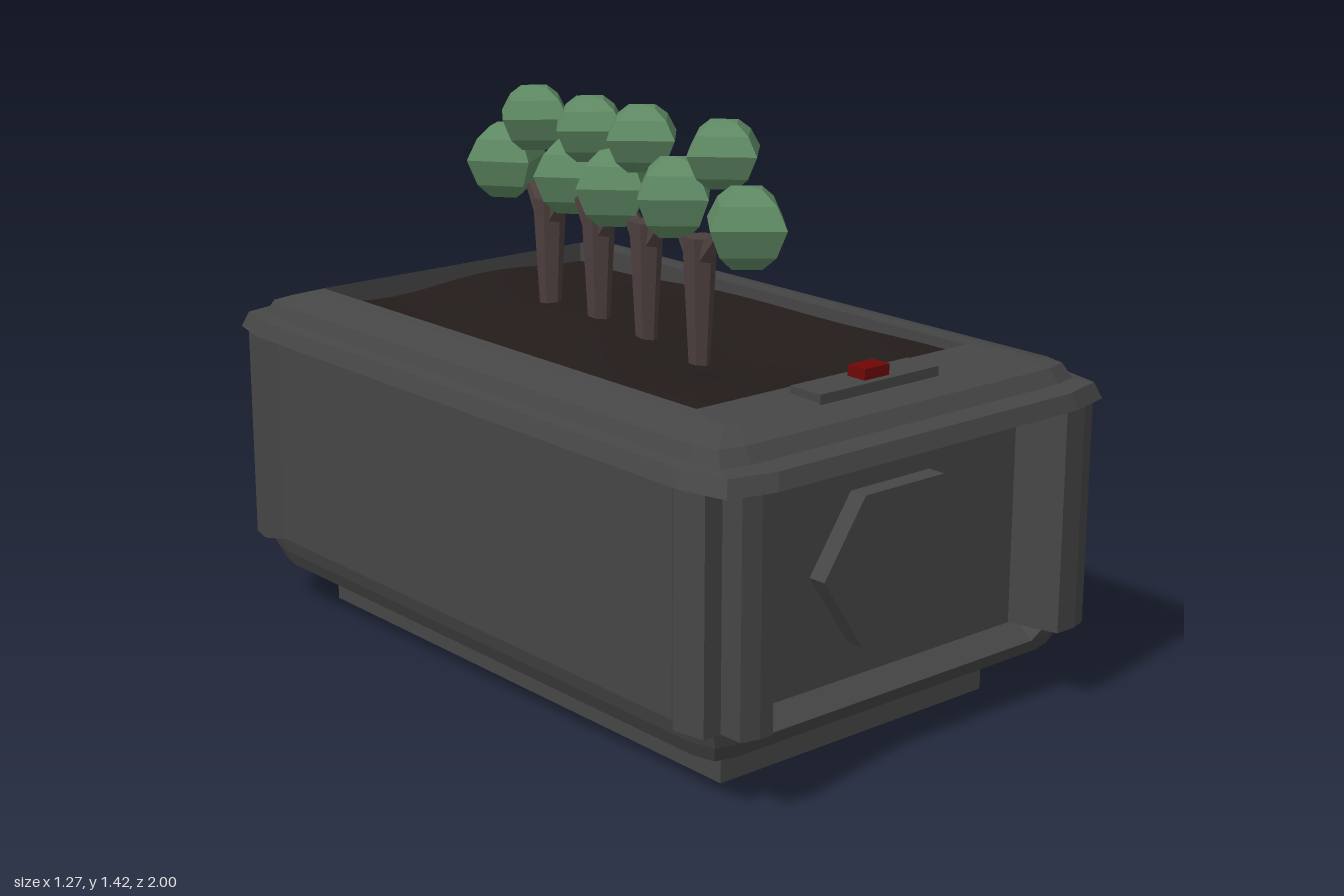
import * as THREE from 'three';

const mat = (color, extra = {}) => new THREE.MeshStandardMaterial({ color, flatShading: true, ...extra });

// Bevelled rectangle in plan; the two extra front points can be pushed in to form a recess.
function loop(y, hx, hz, c = 0.15, recess = 0, cx = 0, cz = 0) {
  const k = c * 0.2;
  const fx = Math.min(0.45, hx - c - 0.005);
  const pts = [
    [hx, hz - c], [hx - k, hz - k], [hx - c, hz],
    [fx, hz - recess], [-fx, hz - recess],
    [c - hx, hz], [k - hx, hz - k], [-hx, hz - c],
    [-hx, c - hz], [k - hx, k - hz], [c - hx, -hz],
    [hx - c, -hz], [hx - k, k - hz], [hx, c - hz],
  ];
  return pts.map(([x, z]) => [x + cx, y, z + cz]);
}

// Skin between stacked loops, with a closed underside.
function loft(rings) {
  const n = rings[0].length, pos = rings.flat(2), idx = [];
  for (let r = 0; r < rings.length - 1; r++) {
    for (let i = 0; i < n; i++) {
      const a = r * n + i, b = r * n + (i + 1) % n;
      idx.push(a, a + n, b, b, a + n, b + n);
    }
  }
  const centre = pos.length / 3;
  pos.push(0, rings[0][0][1], 0);
  for (let i = 0; i < n; i++) idx.push(centre, i, (i + 1) % n);
  const g = new THREE.BufferGeometry();
  g.setAttribute('position', new THREE.Float32BufferAttribute(pos, 3));
  g.setIndex(idx);
  g.computeVertexNormals();
  return g;
}

function prism(points, depth) {
  const shape = new THREE.Shape(points.map(([x, y]) => new THREE.Vector2(x, y)));
  return new THREE.ExtrudeGeometry(shape, { depth, bevelEnabled: false });
}

export function createModel() {
  const model = new THREE.Group();
  const casing = mat(0x464646), soilMat = mat(0x231c1b, { flatShading: false });
  const bark = mat(0x4c3f3d), leaf = mat(0x5f8a64), red = mat(0x700707);

  const add = (name, geometry, material, parent = model) => {
    const m = new THREE.Mesh(geometry, material);
    m.name = name;
    parent.add(m);
    return m;
  };
  const box = (name, x0, x1, y0, y1, z0, z1, material) =>
    add(name, new THREE.BoxGeometry(x1 - x0, y1 - y0, z1 - z0), material)
      .position.set((x0 + x1) / 2, (y0 + y1) / 2, (z0 + z1) / 2);

  // Planter tub: bevelled bottom, recessed front wall, overhanging rim, open top
  add('planterTub', loft([
    loop(0.085, 0.46, 0.82, 0.03),
    loop(0.118, 0.565, 0.89, 0.07),
    loop(0.16, 0.585, 0.915, 0.09),
    loop(0.2, 0.597, 0.922, 0.09, 0.06),
    loop(0.76, 0.597, 0.922, 0.09, 0.06),
    loop(0.76, 0.635, 1.0),
    loop(0.80, 0.62, 0.985),
    loop(0.805, 0.585, 0.925, 0.09),
    loop(0.84, 0.57, 0.9, 0.08),
    loop(0.865, 0.48, 0.82, 0.04),
    loop(0.87, 0.435, 0.748, 0.004, 0, -0.015, -0.053),
    loop(0.78, 0.435, 0.748, 0.004, 0, -0.015, -0.053),
  ]), casing);

  box('foot', -0.445, 0.42, 0, 0.09, -0.79, 0.78, casing);

  // Corner posts: a pair of tapered uprights beside each corner
  for (const sx of [1, -1]) {
    for (const sz of [1, -1]) {
      const inner = sx > 0 ? 0.42 : 0.445;
      const flat = sz > 0 ? 0.83 : 0.85;
      const plans = {
        endPost: [[inner, 0.855], [inner + 0.037, 0.99], [0.52, 0.99], [0.565, 0.975], [0.57, 0.855]],
        sidePost: [[0.56, flat - 0.045], [0.597, flat - 0.045], [0.632, flat], [0.617, 0.915], [0.56, 0.915]],
      };
      for (const [name, plan] of Object.entries(plans)) {
        // Extrusion is turned upright, so the plan's z is negated
        const g = prism(plan.map(([x, z]) => [x * sx, -z * sz]), 0.565);
        g.rotateX(-Math.PI / 2);
        g.translate(0, 0.2, 0);
        add(name, g, casing);
      }
    }
  }

  // Hexagonal front plaque
  const plaque = prism([[-0.255, 0.475], [-0.13, 0.29], [0.125, 0.287],
    [0.237, 0.475], [0.125, 0.655], [-0.13, 0.655]], 0.06);
  plaque.translate(0, 0, 0.85);
  add('frontPlaque', plaque, casing);

  // Control plate and button on the front of the rim
  box('controlPlate', -0.2, 0.18, 0.855, 0.886, 0.73, 0.83, casing);
  box('button', -0.042, 0.037, 0.88, 0.913, 0.755, 0.81, red);

  // Gently uneven soil, lower along the edges
  const soil = new THREE.PlaneGeometry(0.87, 1.496, 12, 20);
  soil.rotateX(-Math.PI / 2);
  soil.translate(-0.015, 0, -0.053);
  const p = soil.attributes.position;
  for (let i = 0; i < p.count; i++) {
    const x = p.getX(i), z = p.getZ(i);
    p.setY(i, 0.832 + 0.018 * Math.sin(7 * z + 3) * Math.cos(3 * x) - 0.012 * Math.sin(9 * x + 3 * z));
  }
  soil.computeVertexNormals();
  add('soil', soil, soilMat);

  // Row of trees
  const trees = new THREE.Group();
  trees.name = 'trees';
  model.add(trees);

  const limb = (name, from, to, r0, r1) => {
    const a = new THREE.Vector3(...from), b = new THREE.Vector3(...to), dir = b.clone().sub(a);
    const m = add(name, new THREE.CylinderGeometry(r1, r0, dir.length(), 6), bark, trees);
    m.position.copy(a).lerp(b, 0.5);
    m.quaternion.setFromUnitVectors(new THREE.Vector3(0, 1, 0), dir.normalize());
  };

  // Four-sided crown with a rounded profile
  const profile = [[0, -1], [0.4, -0.95], [0.74, -0.6], [1, 0.08], [0.74, 0.62], [0.4, 0.93], [0, 1]];
  const crown = (x, y, z, r, h, turn) => {
    const pts = profile.map(([a, b]) => new THREE.Vector2(a * r, b * h));
    const m = add('crown', new THREE.LatheGeometry(pts, 4), leaf, trees);
    m.position.set(x, y, z);
    m.rotation.y = turn;
  };

  // Trunks flare and fork towards the lower crowns on either side
  [0.25, 0.032, -0.138, -0.358].forEach((z, i) => {
    const x = i % 2 ? -0.035 : -0.05;
    limb('trunk', [x, 0.8, z], [x, 1.13, z], 0.026, 0.044);
    for (const s of [1, -1]) limb('branch', [x, 1.08, z + s * 0.012], [x, 1.155, z + s * 0.075], 0.03, 0.016);
  });

  // Upper crowns, then the lower crowns that sit between the trunks
  [[-0.03, 0.31], [-0.04, 0.02], [-0.05, -0.17], [-0.052, -0.395]]
    .forEach(([x, z], i) => crown(x, 1.337, z, 0.118, 0.084, 0.05 * i));
  [[-0.053, 1.18, 0.42, 0.128], [-0.06, 1.215, 0.165, 0.122], [-0.045, 1.2, -0.085, 0.12],
    [-0.025, 1.2, -0.275, 0.12], [-0.055, 1.21, -0.515, 0.118]]
    .forEach(([x, y, z, r], i) => crown(x, y, z, r, 0.1, 0.1 - 0.06 * i));

  return model;
}
